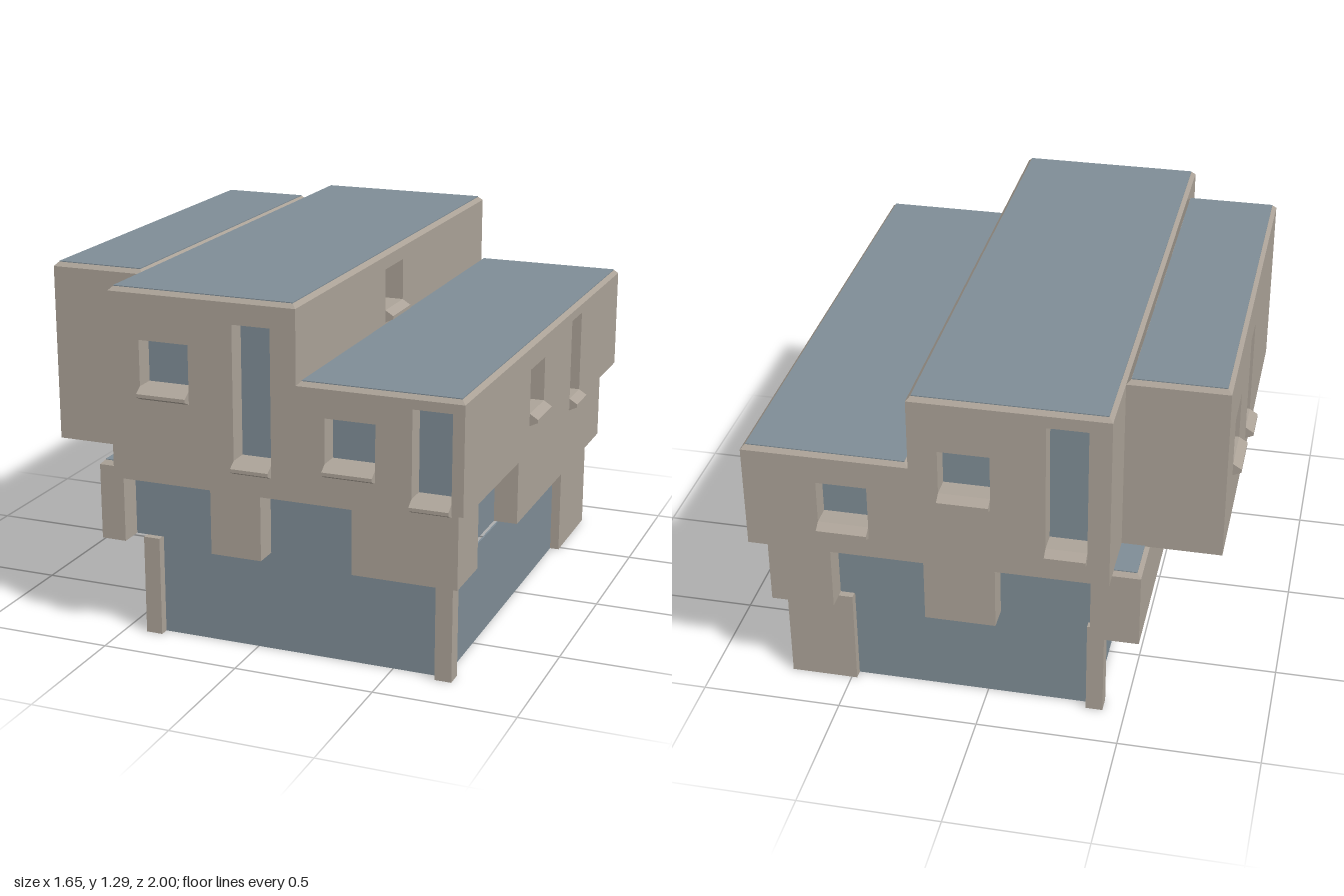
import * as THREE from 'three';

const wall = new THREE.MeshStandardMaterial({ color: 0xaca398 });
wall.name = 'stone';
const glass = new THREE.MeshStandardMaterial({ color: 0x7f8d96 });
glass.name = 'blue grey';

const D = 0.075; // depth of window recesses
const RIM = 0.014; // height and inset of roof edges

export function createModel() {
  const model = new THREE.Group();

  function add(name, geometry, material, parent = model) {
    const mesh = new THREE.Mesh(geometry, material);
    mesh.name = name;
    parent.add(mesh);
    return mesh;
  }

  // Box given by its limits on each axis
  function box(name, [x0, x1], [y0, y1], [z0, z1], material = wall, parent = model) {
    const g = new THREE.BoxGeometry(x1 - x0, y1 - y0, z1 - z0);
    g.translate((x0 + x1) / 2, (y0 + y1) / 2, (z0 + z1) / 2);
    return add(name, g, material, parent);
  }

  // Bevelled roof edge with a coloured deck on top
  function roof(name, [x0, x1], [z0, z1], top) {
    const w = x1 - x0, d = z1 - z0;
    const g = new THREE.BoxGeometry(w, RIM, d);
    const p = g.attributes.position;
    for (let i = 0; i < p.count; i++) {
      if (p.getY(i) > 0) {
        p.setX(i, p.getX(i) * (1 - 2 * RIM / w));
        p.setZ(i, p.getZ(i) * (1 - 2 * RIM / d));
      }
    }
    g.computeVertexNormals();
    g.translate((x0 + x1) / 2, top - RIM / 2, (z0 + z1) / 2);
    add(name + 'Edge', g, wall);
    const e = RIM + 0.001;
    box(name + 'Deck', [x0 + e, x1 - e], [top - 0.001, top + 0.003], [z0 + e, z1 - e], glass);
  }

  // Wall panel facing local +z, with recessed windows [u0, u1, bottom, top] and sloping sills
  function facade(name, outline, windows, position, turn) {
    const group = new THREE.Group();
    group.name = name;
    const shape = new THREE.Shape(outline.map(([u, v]) => new THREE.Vector2(u, v)));
    for (const [u0, u1, s, t] of windows) {
      const b = s + 0.01;
      shape.holes.push(new THREE.Path([[u0, b], [u0, t], [u1, t], [u1, b]].map(([u, v]) => new THREE.Vector2(u, v))));
      box('windowGlass', [u0, u1], [b, t], [-D, -D + 0.004], glass, group);
      const sill = new THREE.Shape([
        [-D, s + 0.045], [-D, s + 0.005], [0, s], [0.03, s + 0.014], [0.03, s + 0.026], [0, s + 0.045],
      ].map(([out, v]) => new THREE.Vector2(out, v)));
      const g = new THREE.ExtrudeGeometry(sill, { depth: u1 - u0, bevelEnabled: false });
      g.rotateY(-Math.PI / 2).translate(u1, 0, 0);
      add('windowSill', g, wall, group);
    }
    const g = new THREE.ExtrudeGeometry(shape, { depth: D, bevelEnabled: false });
    add('wallPanel', g.translate(0, 0, -D), wall, group);
    group.position.set(...position);
    group.rotation.y = turn;
    model.add(group);
  }
  const rect = (u0, u1, v0, v1) => [[u0, v0], [u1, v0], [u1, v1], [u0, v1]];

  // Ground floor: corner posts, solid corner block and glazing
  for (const x of [-0.42, 0.66]) {
    for (const z of [-0.835, 0.775]) {
      if (x < 0 || z > 0) box('cornerPost', [x, x + 0.06], [0, 0.36], [z, z + 0.06]);
    }
  }
  box('cornerBlock', [0.48, 0.72], [0, 0.36], [-0.835, -0.48]);
  box('frontGlazing', [-0.38, 0.68], [0, 0.36], [0.795, 0.801], glass);
  box('backGlazing', [-0.38, 0.5], [0, 0.36], [-0.801, -0.795], glass);
  box('rightGlazing', [0.68, 0.686], [0, 0.36], [-0.49, 0.8], glass);
  box('leftGlazing', [-0.386, -0.38], [0, 0.36], [-0.8, 0.8], glass);

  // Middle floor: plan outline with a notch for every wide opening
  const X0 = -0.55, X1 = 0.755, Z = 0.895, N = 0.09;
  const plan = [[X0, Z]];
  const openings = { front: [[-0.46, -0.13], [0.055, 0.385]], right: [[0.685, 0.23]], back: [[0.53, 0.2], [-0.05, -0.38]], left: [[-0.21, 0.25]] };
  const notch = (a, b, at, inner, alongX) => {
    for (const [u, v] of [[a, at], [a, inner], [b, inner], [b, at]]) plan.push(alongX ? [u, v] : [v, u]);
    const span = [Math.min(a, b), Math.max(a, b)];
    const skin = at > inner ? [inner, inner + 0.004] : [inner - 0.004, inner];
    box('wideWindow', alongX ? span : skin, [0.36, 0.59], alongX ? skin : span, glass);
  };
  for (const [a, b] of openings.front) notch(a, b, Z, Z - N, true);
  plan.push([X1, Z]);
  for (const [a, b] of openings.right) notch(a, b, X1, X1 - N, false);
  plan.push([X1, -Z]);
  for (const [a, b] of openings.back) notch(a, b, -Z, -Z + N, true);
  plan.push([X0, -Z]);
  for (const [a, b] of openings.left) notch(a, b, X0, X0 + N, false);
  const floorShape = new THREE.Shape(plan.map(([x, z]) => new THREE.Vector2(x, -z)));
  const floor = new THREE.ExtrudeGeometry(floorShape, { depth: 0.23, bevelEnabled: false });
  add('middleFloor', floor.rotateX(-Math.PI / 2).translate(0, 0.36, 0), wall);
  box('middleBand', [X0, X1], [0.59, 0.645 - RIM], [-Z, Z]);
  roof('middleRoof', [X0, X1], [-Z, Z], 0.645);

  // Upper floor: stepped main volume
  const B = 0.645, H = 1.287, L = 1.032, E = 0.97;
  const high = H - RIM, low = L - RIM;
  const left = -0.455, step = 0.22, right = 0.795;
  box('upperFloorBase', [left, right], [B, B + 0.01], [-E + 0.01, E - 0.01]);
  facade('frontWall', [[left, B], [right, B], [right, low], [step, low], [step, high], [left, high]], [
    [-0.345, -0.165, 0.91, 1.115], [-0.005, 0.13, 0.69, 1.2],
    [0.32, 0.495, 0.72, 0.92], [0.62, 0.755, 0.64, 0.985],
  ], [0, 0, E], 0);
  facade('backWall', [[-right, B], [-left, B], [-left, high], [-step, high], [-step, low], [-right, low]], [
    [-0.54, -0.365, 0.72, 0.92], [-0.12, 0.055, 0.89, 1.095], [0.24, 0.38, 0.72, 1.23],
  ], [0, 0, -E], Math.PI);
  const inner = E - D;
  facade('rightWall', rect(-inner, inner, B, low), [
    [-0.245, -0.07, 0.735, 0.94], [0.285, 0.42, 0.64, 0.985],
  ], [right, 0, 0], Math.PI / 2);
  facade('stepWall', rect(-inner, inner, L - 0.04, high), [[-0.15, 0.03, 1.03, 1.225]], [step, 0, 0], Math.PI / 2);
  facade('leftWall', rect(-inner, inner, B, high), [], [left, 0, 0], -Math.PI / 2);
  roof('highRoof', [left, step], [-E, E], H);
  roof('lowRoof', [step, right], [-E, E], L);

  // Side wing on the model's right
  const W = -0.8, WZ = 0.722;
  box('wingBase', [W + 0.01, left], [B, B + 0.01], [-WZ + 0.01, WZ - 0.01]);
  facade('wingFront', rect(W, left, B, high), [], [0, 0, WZ], 0);
  facade('wingBack', rect(-left, -W, B, high), [], [0, 0, -WZ], Math.PI);
  facade('wingSide', rect(-WZ + D, WZ - D, B, high), [
    [-0.52, -0.34, 0.84, 1.06], [-0.07, 0.065, 0.715, 1.12],
  ], [W, 0, 0], -Math.PI / 2);
  roof('wingRoof', [W, left], [-WZ, WZ], H);

  return model;
}
